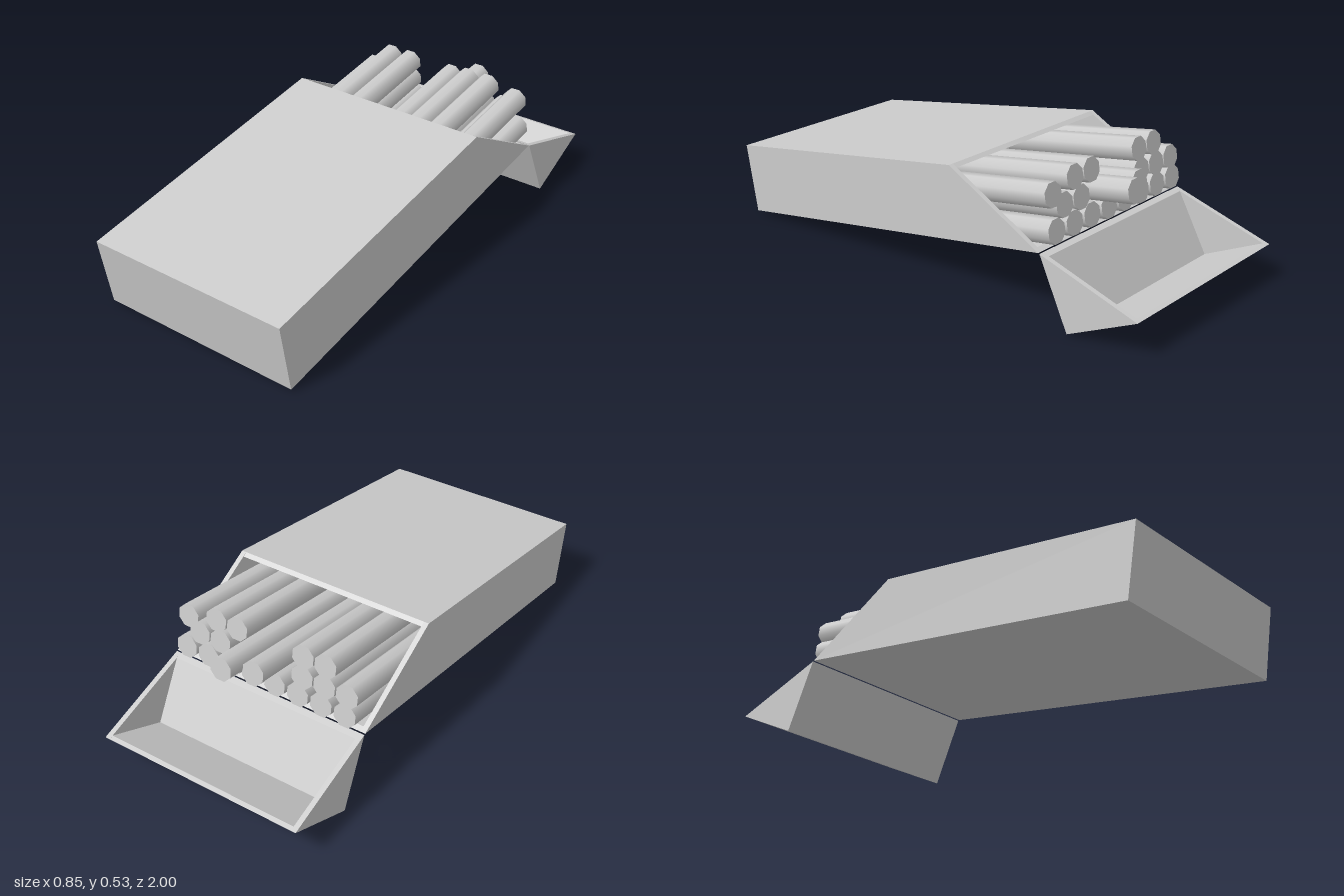
import * as THREE from 'three';

const WIDTH = 0.85, WALL = 0.02;
const material = new THREE.MeshStandardMaterial({ color: 0xcccccc });

// Prism with a (z, y) outline, running across x and centred on x
function prism(name, points, width, x = 0) {
  const shape = new THREE.Shape(points.map(([z, y]) => new THREE.Vector2(z, y)));
  const geometry = new THREE.ExtrudeGeometry(shape, { depth: width, bevelEnabled: false });
  geometry.translate(0, 0, -width / 2).rotateY(-Math.PI / 2);
  const mesh = new THREE.Mesh(geometry, material);
  mesh.name = name;
  mesh.position.x = x;
  return mesh;
}

// Hollow container: walls between outer and inner outlines, open at the last edge
function hollowCase(name, outer, inner) {
  const group = new THREE.Group();
  group.name = name;
  for (let i = 0; i < outer.length - 1; i++) {
    group.add(prism(name + 'Wall', [outer[i], outer[i + 1], inner[i + 1], inner[i]], WIDTH - 2 * WALL));
  }
  for (const side of [-1, 1]) {
    group.add(prism(name + 'Side', outer, WALL, side * (WIDTH - WALL) / 2));
  }
  return group;
}

export function createModel() {
  const model = new THREE.Group();
  model.name = 'openPack';

  // Tilted box with a slanted opening, lying along its own -z
  const pack = new THREE.Group();
  pack.name = 'pack';
  pack.position.set(0, 0.01, 0.952);
  pack.rotation.x = 0.1662;
  pack.add(hollowCase('box',
    [[-1.18, 0.286], [0, 0.286], [0, 0], [-1.553, 0]],
    [[-1.195, 0.272], [-0.015, 0.272], [-0.015, 0.013], [-1.535, 0.013]]));
  model.add(pack);

  // Sticks in three layers; each entry is [x, height, end distance]
  const END = 1.587, PULLED = 1.735;
  const sticks = [];
  for (let i = 0; i < 8; i++) sticks.push([-0.354 + i * 0.101, 0.06, END]);
  for (const x of [-0.355, -0.26, -0.165, 0.2, 0.295]) sticks.push([x, 0.139, END]);
  sticks.push([-0.02, 0.139, PULLED - 0.055], [0.08, 0.139, PULLED]);
  for (const x of [-0.257, -0.162, 0.128, 0.223]) sticks.push([x, 0.22, END]);
  sticks.push([0.35, 0.19, END]);
  for (const [x, y, end] of sticks) {
    const length = end - 0.05;
    const geometry = new THREE.CylinderGeometry(0.048, 0.048, length, 8, 1, false, Math.PI / 8);
    geometry.rotateX(-Math.PI / 2);
    const stick = new THREE.Mesh(geometry, material);
    stick.name = 'stick';
    stick.position.set(x, y, -end + length / 2);
    pack.add(stick);
  }

  // Flipped-back wedge lid, open upwards
  model.add(hollowCase('lid',
    [[-0.585, 0.265], [-0.71, 0], [-1, 0.14]],
    [[-0.61, 0.257], [-0.738, 0.028], [-0.983, 0.145]]));

  return model;
}
